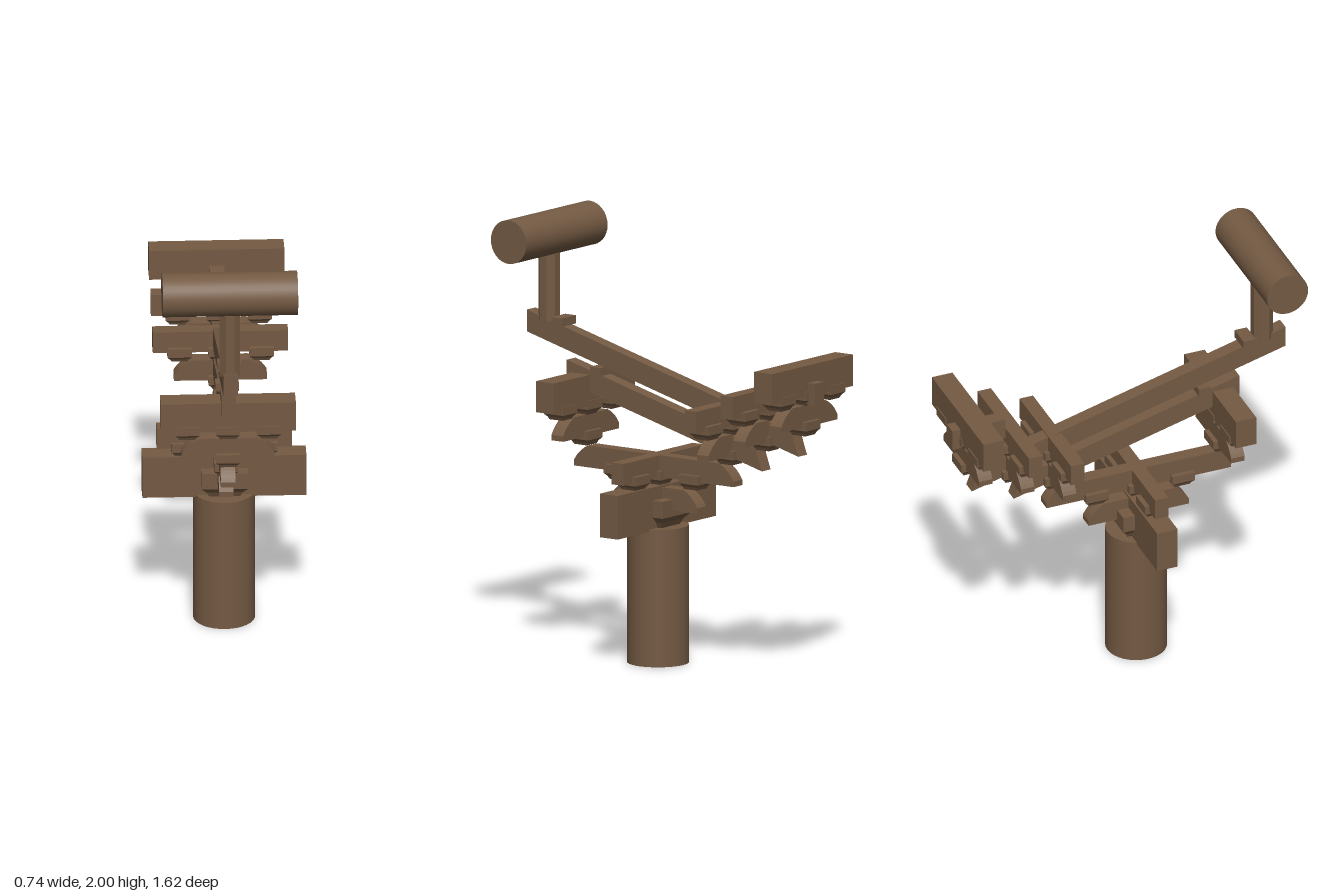
import * as THREE from 'three';

export function createModel() {
  const model = new THREE.Group();
  model.name = 'timberBracketSet';
  const wood = new THREE.MeshStandardMaterial({ color: 0x745a43 });
  wood.name = 'brownTimber';
  const AXIS = 0.1; // z of the column

  function add(name, geometry, x = 0, y = 0, z = 0) {
    const mesh = new THREE.Mesh(geometry, wood);
    mesh.name = name;
    mesh.position.set(x, y, z);
    model.add(mesh);
    return mesh;
  }

  // Box given by its half width, bottom, top and z range
  function beam(name, halfX, y0, y1, z0, z1) {
    add(name, new THREE.BoxGeometry(halfX * 2, y1 - y0, z1 - z0), 0, (y0 + y1) / 2, (z0 + z1) / 2);
  }

  // Extrude a profile to a thickness, centred
  function slab(shape, thickness) {
    const g = new THREE.ExtrudeGeometry(shape, { depth: thickness, bevelEnabled: false, curveSegments: 6 });
    return g.translate(0, 0, -thickness / 2);
  }

  // Bracket arm with rounded shoulders
  function armGeometry(half, height, inset) {
    const s = new THREE.Shape();
    s.moveTo(-half, 0);
    s.lineTo(half, 0);
    s.lineTo(half, height * 0.25);
    s.quadraticCurveTo(half - inset * 0.35, height * 0.75, half - inset, height);
    s.lineTo(-half + inset, height);
    s.quadraticCurveTo(-half + inset * 0.35, height * 0.75, -half, height * 0.25);
    s.closePath();
    return slab(s, 0.066);
  }

  // Square bearing block with a flared foot
  function block(name, x, y, z, half = 0.055, foot = 0.036, height = 0.068, flare = 0.4) {
    const profile = [[0, 0], [foot, 0], [foot + (half - foot) * 0.35, height * flare * 0.5],
      [half, height * flare], [half, height], [0, height]]
      .map(([r, h]) => new THREE.Vector2(r * Math.SQRT2, h));
    const g = new THREE.LatheGeometry(profile, 4, Math.PI / 4).toNonIndexed();
    g.computeVertexNormals();
    add(name, g, x, y, z);
  }

  // Column and its capital block
  add('column', new THREE.CylinderGeometry(0.14, 0.14, 0.63, 32), 0, 0.315, AXIS);
  block('capitalBlock', 0, 0.63, AXIS, 0.106, 0.07, 0.13, 0.4);

  // Crossing tiers over the column
  beam('lintel', 0.37, 0.62, 0.82, AXIS - 0.05, AXIS + 0.05);
  add('lowerArm', armGeometry(0.245, 0.1, 0.075).rotateY(-Math.PI / 2), 0, 0.71, AXIS);
  add('upperArm', armGeometry(0.45, 0.1, 0.08).rotateY(-Math.PI / 2), 0, 0.855, AXIS);
  beam('wallBeam', 0.305, 0.855, 0.955, AXIS - 0.033, AXIS + 0.033);
  for (const x of [-0.185, 0, 0.185]) block('wallBlock', x, 0.817, AXIS);
  for (const z of [-0.21, 0.21]) block('armBlock', 0, 0.817, AXIS + z);

  // Cross brackets: base block, arm, three blocks and the beam above
  const brackets = [
    { z: 0.51, y: 0.955, top: 1.28, half: 0.05 },
    { z: -0.31, y: 0.955, top: 1.24, half: 0.033 },
    { z: -0.515, y: 1.042, top: 1.33, half: 0.033 },
    { z: -0.72, y: 1.133, top: 1.46, half: 0.05 },
  ];
  for (const { z, y, top, half } of brackets) {
    block('bracketBaseBlock', 0, y, z);
    add('crossArm', armGeometry(0.21, 0.1, 0.085), 0, y + 0.042, z);
    for (const x of [-0.185, 0, 0.185]) block('crossArmBlock', x, y + 0.14, z);
    beam('crossBeam', 0.305, y + 0.183, top, z - half, z + half);
  }
  beam('rearTieBeam', 0.033, 1.28, 1.38, -0.81, -0.55);

  // Slanting lever arms with a notched tail
  function lever(name, zHigh, yHigh, zTip, yTip) {
    const s = new THREE.Shape();
    const slope = (yHigh - 0.1 - yTip) / (zHigh - zTip);
    const zTop = zTip + 0.036;
    s.moveTo(zTip, yTip);
    s.lineTo(zHigh, yHigh - 0.1);
    s.lineTo(zHigh, yHigh);
    s.lineTo(zTop, yHigh - slope * (zHigh - zTop));
    s.quadraticCurveTo(zTop - 0.012, yTip + 0.06, zTip, yTip);
    add(name, slab(s, 0.066).rotateY(-Math.PI / 2));
  }
  lever('lowerLever', 0.59, 1.335, -0.51, 0.945);
  lever('upperLever', 0.815, 1.54, -0.715, 1.035);
  beam('lowerLeverPeg', 0.053, 1.285, 1.322, 0.385, 0.443);
  beam('upperLeverPeg', 0.053, 1.487, 1.525, 0.602, 0.662);

  // Short post carrying the purlin
  const post = new THREE.CylinderGeometry(0.05, 0.05, 0.31, 8).toNonIndexed();
  post.rotateY(Math.PI / 8).computeVertexNormals();
  add('shortPost', post, 0, 1.655, 0.713);
  add('purlin', new THREE.CylinderGeometry(0.1, 0.1, 0.61, 32).rotateZ(Math.PI / 2), 0, 1.9, 0.713);

  return model;
}
